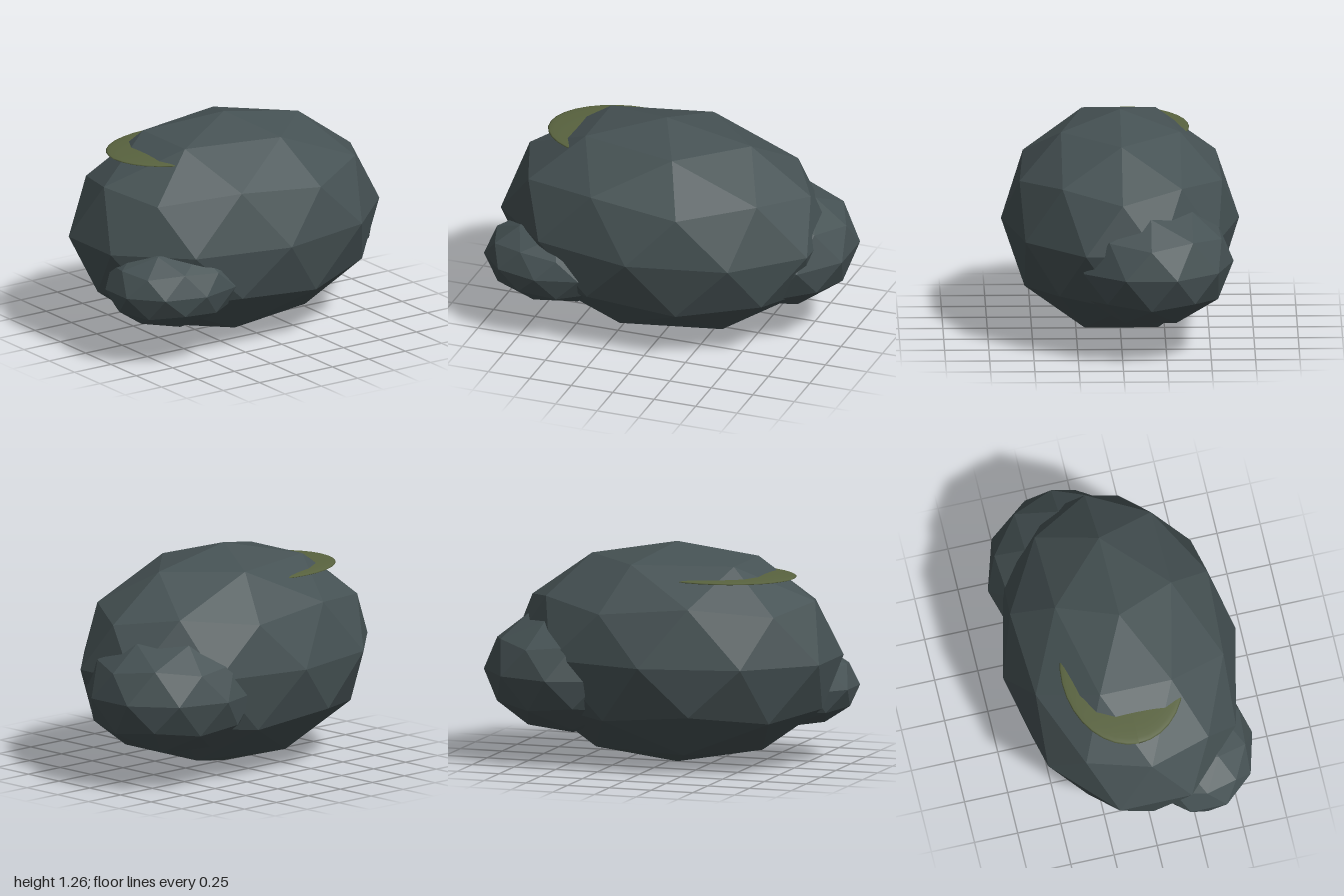
import * as THREE from 'three';

export function createModel() {
  const group = new THREE.Group();
  const stone = new THREE.MeshStandardMaterial({ color: 0x465254, flatShading: true });
  stone.name = 'dark stone';
  const moss = new THREE.MeshStandardMaterial({ color: 0x59633f });
  moss.name = 'moss green';

  // Faceted ball with a corner at the top and an upper-ring corner toward +x
  const facetedBall = new THREE.IcosahedronGeometry(1, 1);
  facetedBall.rotateZ(Math.atan(2 / (1 + Math.sqrt(5))));
  facetedBall.rotateY(Math.PI);

  function addPart(name, geometry, material, position, radii) {
    const mesh = new THREE.Mesh(geometry.clone().scale(...radii), material);
    mesh.geometry.computeVertexNormals();
    mesh.name = name;
    mesh.position.set(...position);
    group.add(mesh);
  }

  // Large boulder with two smaller rocks sunk into its sides
  addPart('mainBoulder', facetedBall, stone, [-0.05, 0.63, 0], [0.97, 0.63, 0.672]);
  addPart('backLeftRock', facetedBall, stone, [0.52, 0.52, -0.16], [0.505, 0.36, 0.47]);
  addPart('frontRightRock', facetedBall, stone, [-0.61, 0.43, 0.3], [0.41, 0.245, 0.34]);

  // Flat moss cushion, showing as a crescent where it leaves the boulder
  addPart('mossPatch', new THREE.SphereGeometry(1, 32, 16), moss, [-0.32, 1.09, -0.05], [0.447, 0.019, 0.345]);

  return group;
}
